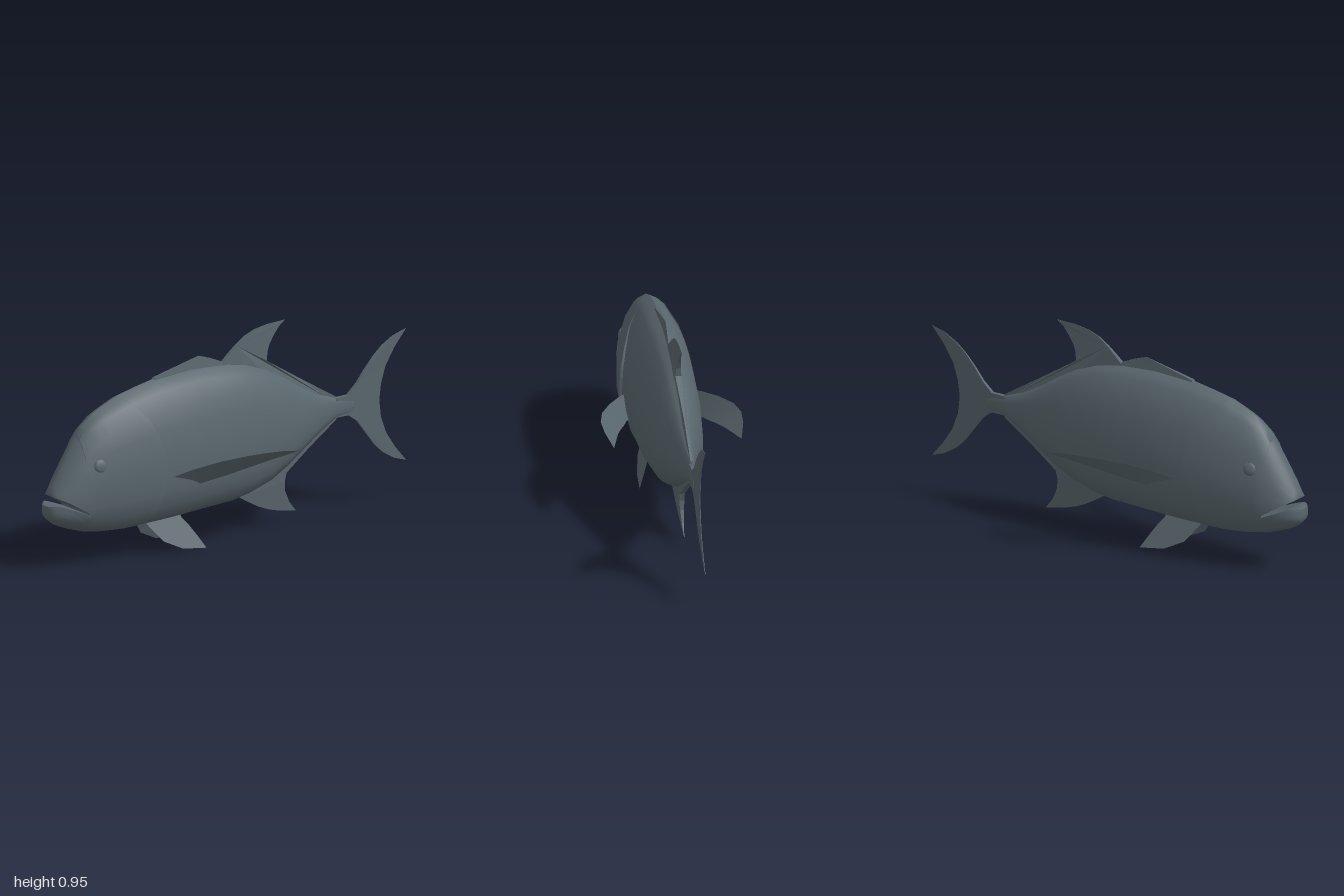
import * as THREE from 'three';
import { toCreasedNormals } from 'three/addons/utils/BufferGeometryUtils.js';

const skin = new THREE.MeshStandardMaterial({ color: 0x59666d, side: THREE.DoubleSide });
skin.name = 'slateGrey';

// Piecewise linear lookup in a list of [key, value], keys descending
function lookup(table, k) {
  if (k >= table[0][0]) return table[0][1];
  for (let i = 1; i < table.length; i++) {
    const [k0, v0] = table[i - 1], [k1, v1] = table[i];
    if (k >= k1) return v1 + (v0 - v1) * (k - k1) / (k0 - k1);
  }
  return table[table.length - 1][1];
}

// Back line, belly line and half width along z
const TOP = [[1, 0.33], [0.975, 0.37], [0.95, 0.42], [0.9, 0.495], [0.85, 0.585], [0.8, 0.65], [0.75, 0.69], [0.7, 0.717],
  [0.6, 0.758], [0.5, 0.782], [0.4, 0.802], [0.2, 0.815], [0, 0.808], [-0.1, 0.79], [-0.2, 0.755], [-0.3, 0.7],
  [-0.4, 0.635], [-0.5, 0.58], [-0.6, 0.545], [-0.7, 0.53]];
const BOTTOM = [[1, 0.25], [0.975, 0.222], [0.95, 0.207], [0.9, 0.185], [0.8, 0.153], [0.7, 0.136], [0.6, 0.129], [0.4, 0.134],
  [0.2, 0.145], [0, 0.157], [-0.1, 0.175], [-0.2, 0.208], [-0.3, 0.262], [-0.4, 0.325], [-0.5, 0.39], [-0.6, 0.447], [-0.7, 0.46]];
const WIDTH = [[1, 0.03], [0.985, 0.05], [0.95, 0.076], [0.9, 0.095], [0.82, 0.116], [0.7, 0.137], [0.6, 0.15], [0.45, 0.16],
  [0.3, 0.157], [0.2, 0.15], [0, 0.138], [-0.2, 0.115], [-0.3, 0.096], [-0.4, 0.065], [-0.5, 0.038], [-0.6, 0.018], [-0.7, 0.01]];
// Relative width by relative height, the same for every section
const PROFILE = [[1, 0], [0.97, 0.25], [0.93, 0.42], [0.81, 0.7], [0.69, 0.84], [0.55, 0.96], [0.44, 1], [0.28, 1],
  [0.16, 0.88], [0.06, 0.6], [0.025, 0.32], [0, 0]];
const KNOTS = PROFILE.map(p => p[0]).reverse();

function surfacePoint(z, t, widen = 1) {
  const top = lookup(TOP, z), bottom = lookup(BOTTOM, z);
  return [lookup(WIDTH, z) * lookup(PROFILE, t) * widen, bottom + (top - bottom) * t, z];
}

// Skin over sections from front to back, each covering the heights t0..t1
function loft({ zs, from = () => 0, to = () => 1, bend = () => 0, widen = () => 1 }) {
  const pos = [], index = [], n = KNOTS.length * 2;
  zs.forEach((z, i) => {
    const t0 = from(z), t1 = to(z);
    const side = KNOTS.map(k => {
      const t = t0 + (t1 - t0) * k;
      return surfacePoint(z + bend(i, t), t, widen(i, t));
    });
    side.forEach(p => pos.push(...p));
    side.reverse().forEach(p => pos.push(-p[0], p[1], p[2]));
  });
  for (let i = 0; i < zs.length - 1; i++) for (let j = 0; j < n; j++) {
    const a = i * n + j, b = i * n + (j + 1) % n;
    index.push(a, a + n, b, b, a + n, b + n);
  }
  // End caps
  [0, zs.length - 1].forEach(row => {
    const c = pos.length / 3, s = row * n * 3, m = n / 2 * 3;
    let y = 0, z = 0;
    for (let j = 0; j < n; j++) { y += pos[s + j * 3 + 1] / n; z += pos[s + j * 3 + 2] / n; }
    pos.push(0, y, z);
    for (let j = 0; j < n; j++) {
      const a = row * n + j, b = row * n + (j + 1) % n;
      row === 0 ? index.push(c, a, b) : index.push(c, b, a);
    }
  });
  const g = new THREE.BufferGeometry();
  g.setAttribute('position', new THREE.Float32BufferAttribute(pos, 3));
  g.setIndex(index);
  return toCreasedNormals(g, 0.75);
}

// Fin in the middle plane from [z, y] points, thinned by a rule
function medianFin(points, halfThickness) {
  const shape = new THREE.Shape(points.map(p => new THREE.Vector2(p[0], p[1])));
  const g = new THREE.ExtrudeGeometry(shape, { depth: 2, bevelEnabled: false });
  g.translate(0, 0, -1).rotateY(-Math.PI / 2);
  const p = g.attributes.position;
  for (let i = 0; i < p.count; i++) p.setX(i, p.getX(i) * Math.max(0.001, halfThickness(p.getZ(i), p.getY(i))));
  g.computeVertexNormals();
  return g;
}

// Thin sheet between two edges with the same number of points
function sheet(edgeA, edgeB, side) {
  const pos = [], index = [];
  edgeA.forEach((a, i) => {
    const b = edgeB[i];
    pos.push(a[0] * side, a[1], a[2], b[0] * side, b[1], b[2]);
    if (i) {
      const k = i * 2;
      if (side > 0) index.push(k - 2, k - 1, k, k, k - 1, k + 1);
      else index.push(k - 2, k, k - 1, k, k + 1, k - 1);
    }
  });
  const g = new THREE.BufferGeometry();
  g.setAttribute('position', new THREE.Float32BufferAttribute(pos, 3));
  g.setIndex(index);
  g.computeVertexNormals();
  return g;
}

export function createModel() {
  const fish = new THREE.Group();
  fish.name = 'fish';
  const add = (name, geometry) => {
    const mesh = new THREE.Mesh(geometry, skin);
    mesh.name = name;
    fish.add(mesh);
    return mesh;
  };

  // Trunk
  add('body', loft({ zs: [0.66, 0.6, 0.5, 0.4, 0.3, 0.2, 0.1, 0, -0.1, -0.2, -0.3, -0.4, -0.5, -0.6, -0.7],
    widen: i => (i < 4 ? 0.965 : 1) }));

  // Head, ending in the curved edge of the gill covers
  add('head', loft({ zs: [0.835, 0.8, 0.75, 0.7, 0.65, 0.6, 0.55, 0.49, 0.44, 0.436],
    bend: (i, t) => 0.65 * (t - 0.44) ** 2 * (Math.max(0, i - 2) / 7) ** 1.5,
    widen: i => (i === 9 ? 0.95 : 1 + 0.03 * i / 8) }));

  // Jaws, open at the front
  const height = (z, y) => (y - lookup(BOTTOM, z)) / (lookup(TOP, z) - lookup(BOTTOM, z));
  const lipUpper = [[0.98, 0.35], [0.93, 0.325], [0.88, 0.295], [0.83, 0.265], [0.81, 0.255]];
  const lipLower = [[1, 0.305], [0.97, 0.312], [0.93, 0.297], [0.88, 0.277], [0.83, 0.257], [0.81, 0.25]];
  add('upperJaw', loft({ zs: [0.978, 0.965, 0.93, 0.88, 0.83, 0.81], from: z => height(z, lookup(lipUpper, z)),
    widen: (i, t) => (t < 0.75 ? 1.03 : 1) }));
  add('lowerJaw', loft({ zs: [1, 0.985, 0.96, 0.93, 0.88, 0.83, 0.81], to: z => height(z, lookup(lipLower, z)) }));

  // Fins along the middle
  add('frontDorsalFin', medianFin([[0.42, 0.78], [0.4, 0.805], [0.28, 0.835], [0.155, 0.866], [0.09, 0.845], [0.02, 0.815],
    [0.02, 0.78]], (z, y) => 0.012 * (0.87 - y) / 0.08));
  add('rearDorsalFin', medianFin([[0.04, 0.78], [0.03, 0.807], [-0.01, 0.845], [-0.05, 0.88], [-0.1, 0.915], [-0.155, 0.938],
    [-0.23, 0.951], [-0.325, 0.955], [-0.29, 0.93], [-0.26, 0.895], [-0.235, 0.86], [-0.22, 0.825], [-0.215, 0.783],
    [-0.4, 0.67], [-0.6, 0.55], [-0.6, 0.52], [-0.4, 0.6], [-0.2, 0.73]], (z, y) => (z < -0.35 && y < 0.7 ? 0.005 : 0.012 * (0.955 - y) / 0.15)));
  add('analFin', medianFin([[-0.05, 0.19], [-0.07, 0.165], [-0.12, 0.135], [-0.175, 0.105], [-0.23, 0.083], [-0.29, 0.066],
    [-0.385, 0.05], [-0.345, 0.1], [-0.32, 0.155], [-0.315, 0.2], [-0.325, 0.24], [-0.45, 0.337], [-0.6, 0.443],
    [-0.6, 0.47], [-0.4, 0.37], [-0.2, 0.24]], (z, y) => Math.min(0.012, 0.012 * (y - 0.05) / 0.15)));
  add('tailFin', medianFin([[-0.6, 0.54], [-0.67, 0.543], [-0.72, 0.59], [-0.76, 0.643], [-0.81, 0.7], [-0.86, 0.745],
    [-0.92, 0.78], [-0.995, 0.802], [-0.93, 0.725], [-0.88, 0.645], [-0.855, 0.565], [-0.845, 0.49], [-0.855, 0.41],
    [-0.885, 0.33], [-0.935, 0.255], [-0.995, 0.185], [-0.93, 0.205], [-0.865, 0.243], [-0.82, 0.285], [-0.77, 0.35],
    [-0.72, 0.415], [-0.67, 0.45], [-0.6, 0.45]], z => 0.012 * (z + 0.9) / 0.3));

  // Paired fins and eyes
  const pectoralOuter = [[0.148, 0.372, 0.41], [0.19, 0.405, 0.32], [0.25, 0.438, 0.2], [0.3, 0.457, 0.09], [0.32, 0.46, 0],
    [0.315, 0.452, -0.09], [0.29, 0.43, -0.2]];
  const pectoralInner = [[0.145, 0.315, 0.27], [0.165, 0.328, 0.235], [0.19, 0.345, 0.16], [0.222, 0.37, 0.07],
    [0.242, 0.388, 0], [0.266, 0.41, -0.1], [0.29, 0.43, -0.2]];
  const pelvic = (y, z) => [0.05 + 0.063 * (0.145 - y) / 0.145, y, z];
  const pelvicFront = [pelvic(0.17, 0.49), pelvic(0.135, 0.47), pelvic(0.06, 0.41), pelvic(0.015, 0.315), pelvic(0, 0.19)];
  const pelvicBack = [pelvic(0.17, 0.29), pelvic(0.145, 0.285), pelvic(0.115, 0.26), pelvic(0.06, 0.225), pelvic(0, 0.19)];
  for (const [label, side] of [['left', 1], ['right', -1]]) {
    add(label + 'PectoralFin', sheet(pectoralOuter, pectoralInner, side));
    add(label + 'PelvicFin', sheet(pelvicFront, pelvicBack, side));
    const eye = add(label + 'Eye', new THREE.SphereGeometry(0.03, 16, 10));
    const p = surfacePoint(0.775, 0.635);
    eye.position.set(side * (p[0] - 0.001), p[1], p[2]);
    eye.scale.x = 0.35;
    eye.rotation.set(0, -side * 0.2, side * 0.2);
  }
  return fish;
}
